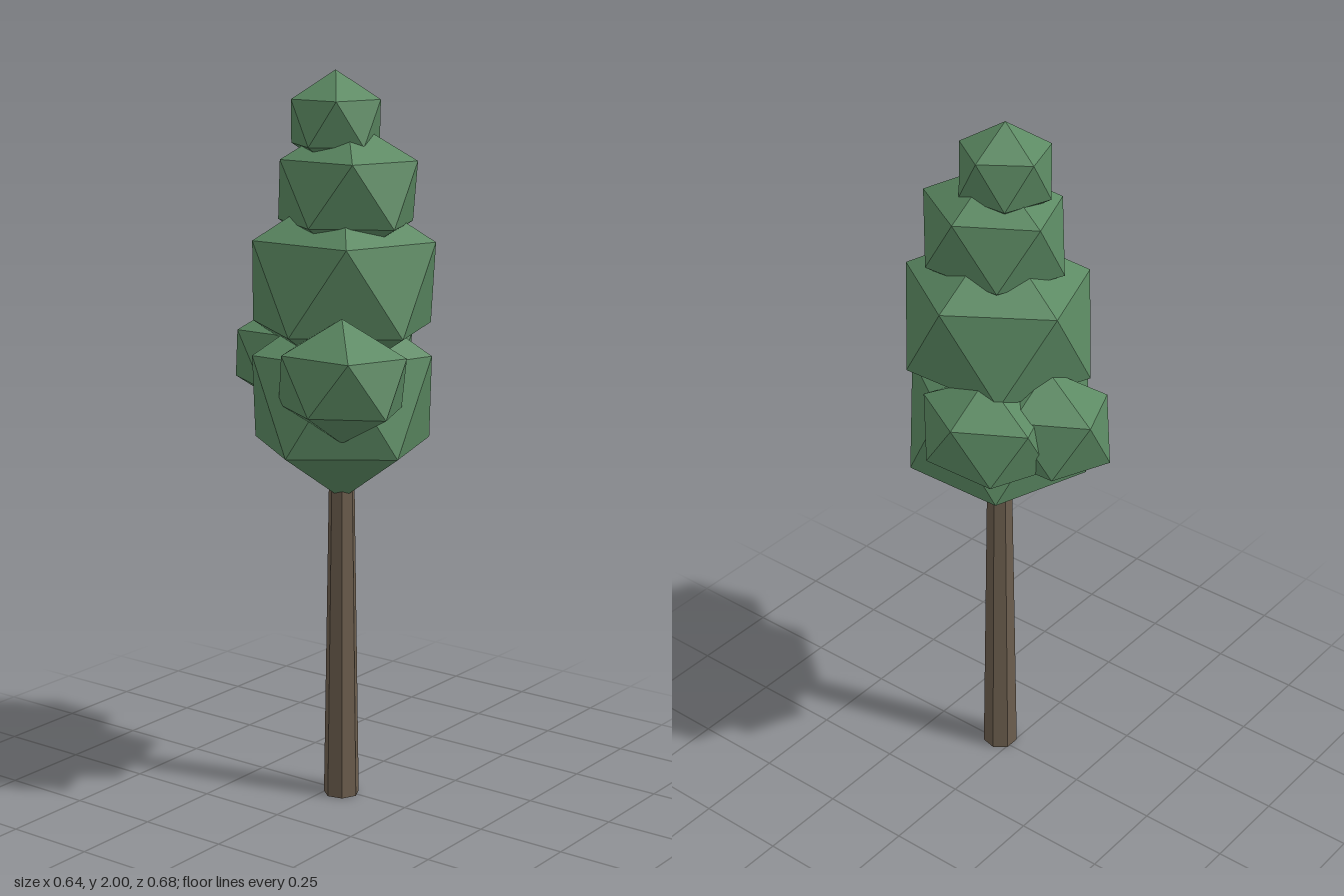
import * as THREE from 'three';

// Unit icosahedron standing on a corner, with an upper corner facing +x
function leafGeometry() {
  const ring = (i, y, turn) => {
    const a = (i + turn) * Math.PI * 2 / 5;
    return [Math.cos(a) * 0.8944, y, Math.sin(a) * 0.8944];
  };
  const upper = i => ring(i, 0.4472, 0);
  const lower = i => ring(i, -0.4472, 0.5);
  const points = [];
  for (let i = 0; i < 5; i++) {
    points.push(
      [0, 1, 0], upper(i + 1), upper(i),
      upper(i), upper(i + 1), lower(i),
      lower(i), upper(i + 1), lower(i + 1),
      lower(i), lower(i + 1), [0, -1, 0]
    );
  }
  const geometry = new THREE.BufferGeometry();
  geometry.setAttribute('position', new THREE.Float32BufferAttribute(points.flat(), 3));
  geometry.computeVertexNormals();
  return geometry;
}

export function createModel() {
  const model = new THREE.Group();
  model.name = 'tree';

  const leaf = new THREE.MeshStandardMaterial({ color: 0x5b8962, flatShading: true });
  leaf.name = 'leaf green';
  const bark = new THREE.MeshStandardMaterial({ color: 0x6b5d4d, flatShading: true });
  bark.name = 'bark brown';

  // Tapered trunk, running up into the lowest clump
  const trunk = new THREE.Mesh(new THREE.CylinderGeometry(0.034, 0.05, 1, 7), bark);
  trunk.name = 'trunk';
  trunk.position.set(-0.012, 0.5, 0.042);
  model.add(trunk);

  // Foliage clumps: name, centre, radii
  const geometry = leafGeometry();
  const clumps = [
    ['lowerCrown', [-0.011, 1.132, 0.042], [0.278, 0.283, 0.28]],
    ['middleCrown', [0.009, 1.44, 0.029], [0.266, 0.267, 0.293]],
    ['upperCrown', [-0.001, 1.687, 0.05], [0.188, 0.19, 0.224]],
    ['crownTip', [-0.011, 1.867, 0.02], [0.133, 0.134, 0.14]],
    ['frontSideClump', [-0.175, 1.215, 0.163], [0.163, 0.165, 0.204]],
    ['leftSideClump', [0.175, 1.212, -0.063], [0.162, 0.162, 0.203]],
    ['backSideClump', [0.05, 1.215, -0.165], [0.163, 0.165, 0.205]]
  ];
  for (const [name, centre, radii] of clumps) {
    const clump = new THREE.Mesh(geometry, leaf);
    clump.name = name;
    clump.position.set(...centre);
    clump.scale.set(...radii);
    model.add(clump);
  }
  return model;
}
